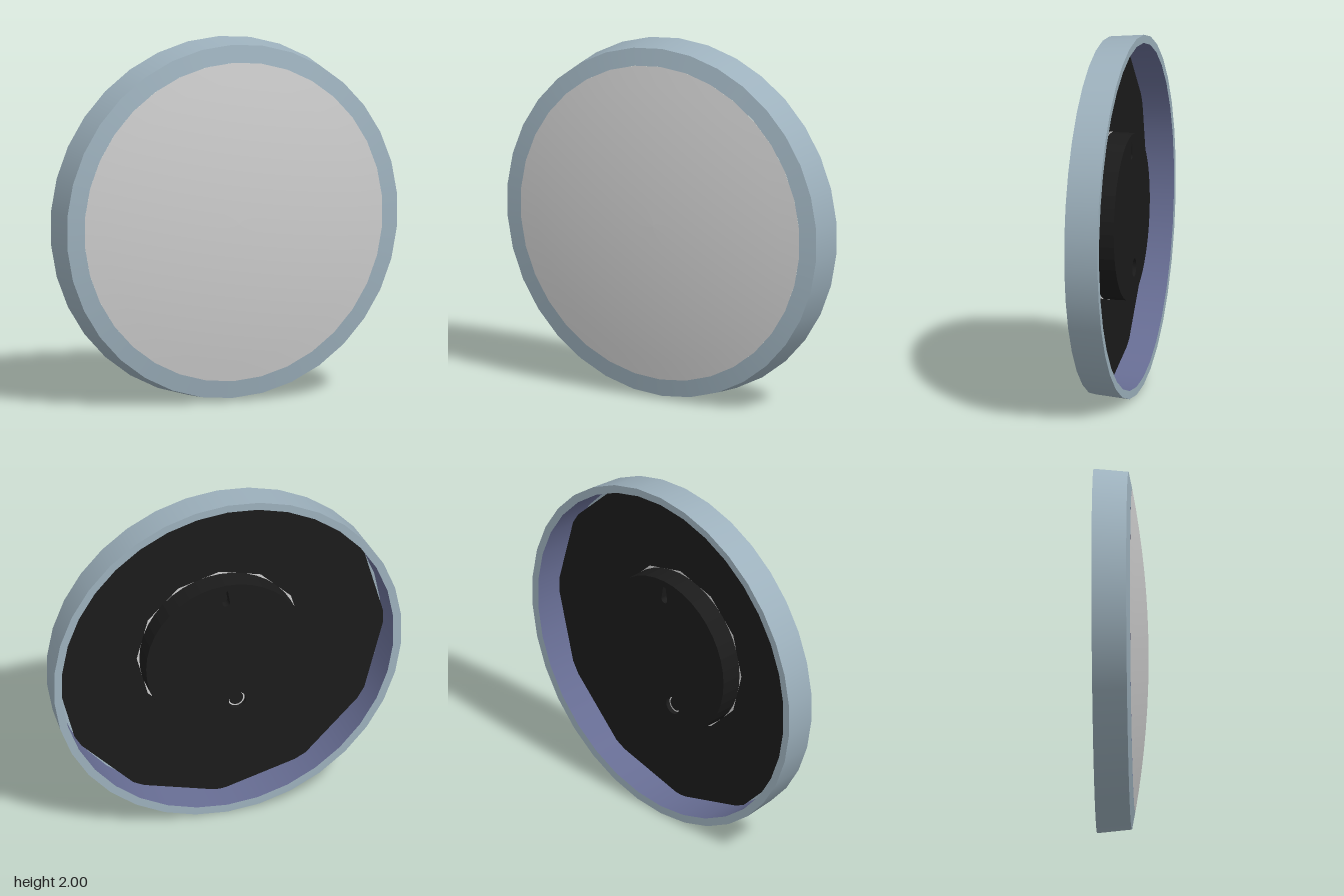
import * as THREE from 'three';

const mat = (name, color, side = THREE.FrontSide) => {
  const m = new THREE.MeshStandardMaterial({ color, side });
  m.name = name;
  return m;
};

export function createModel() {
  const group = new THREE.Group();
  const blue = mat('blue grey frame', 0x9db1bd, THREE.DoubleSide);
  const grey = mat('pale grey diffuser', 0xcccccc, THREE.DoubleSide);
  const black = mat('black backing', 0x1b1b1b);
  const liner = mat('violet blue liner', 0x666c92, THREE.DoubleSide);

  // everything turns around the z axis through the centre at y = 1
  const add = (name, geometry, material, x = 0, y = 0, z = 0) => {
    const mesh = new THREE.Mesh(geometry, material);
    mesh.name = name;
    mesh.position.set(x, 1 + y, z);
    group.add(mesh);
  };
  // lathe profile given as [radius, z] pairs
  const turn = (points, segments = 34) =>
    new THREE.LatheGeometry(points.map(([r, z]) => new THREE.Vector2(r, z)), segments).rotateX(Math.PI / 2);
  const polygon = (radius, sides, Type = THREE.Shape) => {
    const pts = [];
    for (let i = 0; i < sides; i++) {
      const a = Math.PI / 2 + (i / sides) * Math.PI * 2;
      pts.push(new THREE.Vector2(radius * Math.cos(a), radius * Math.sin(a)));
    }
    return new Type(pts);
  };

  // outer frame, one band per face so that the edges stay sharp
  add('frameBackEdge', turn([[0.955, -0.145], [1, -0.145]]), blue);
  add('frameSide', turn([[1, -0.145], [0.982, 0.045]]), blue);
  add('frameFrontRing', turn([[0.982, 0.045], [0.885, 0.064]]), blue);
  add('innerLiner', turn([[0.94, 0.05], [0.955, -0.145]]), liner);

  // shallow domed diffuser
  const dome = [];
  for (let i = 0; i <= 8; i++) {
    const r = 0.885 * (1 - i / 8);
    dome.push([Math.max(r, 0.0001), 0.145 - 0.103 * r * r]);
  }
  add('diffuser', turn(dome), grey);

  // faceted backing plate with a coarse hole around the drum
  const plate = polygon(0.95, 12);
  plate.holes.push(polygon(0.475, 12, THREE.Path));
  add('backPlate', new THREE.ShapeGeometry(plate).rotateY(Math.PI), black, 0, 0, 0.005);
  add('drumSeat', new THREE.CircleGeometry(0.49, 32), grey, 0, 0, 0.012);

  // mounting drum with a keyhole slot and a cable hole
  const drum = new THREE.Shape().absarc(0, 0, 0.46, 0, Math.PI * 2);
  const keyhole = new THREE.Path();
  keyhole.moveTo(-0.01, 0.42);
  keyhole.lineTo(-0.022, 0.345);
  keyhole.absarc(0, 0.345, 0.022, Math.PI, Math.PI * 2);
  keyhole.lineTo(0.01, 0.42);
  keyhole.closePath();
  drum.holes.push(keyhole);
  drum.holes.push(new THREE.Path().absarc(-0.065, -0.3, 0.05, 0, Math.PI * 2));
  add('mountingDrum', new THREE.ExtrudeGeometry(drum, { depth: 0.123, bevelEnabled: false, curveSegments: 20 }),
    black, 0, 0, -0.118);
  add('keyholeFloor', new THREE.CircleGeometry(0.07, 12).rotateY(Math.PI), black, 0, 0.37, -0.07);
  add('cableHoleFloor', new THREE.CircleGeometry(0.055, 16).rotateY(Math.PI), black, -0.065, -0.3, -0.09);
  add('cableHoleRing', new THREE.RingGeometry(0.04, 0.048, 20).rotateY(Math.PI), grey, -0.065, -0.3, -0.095);

  return group;
}
